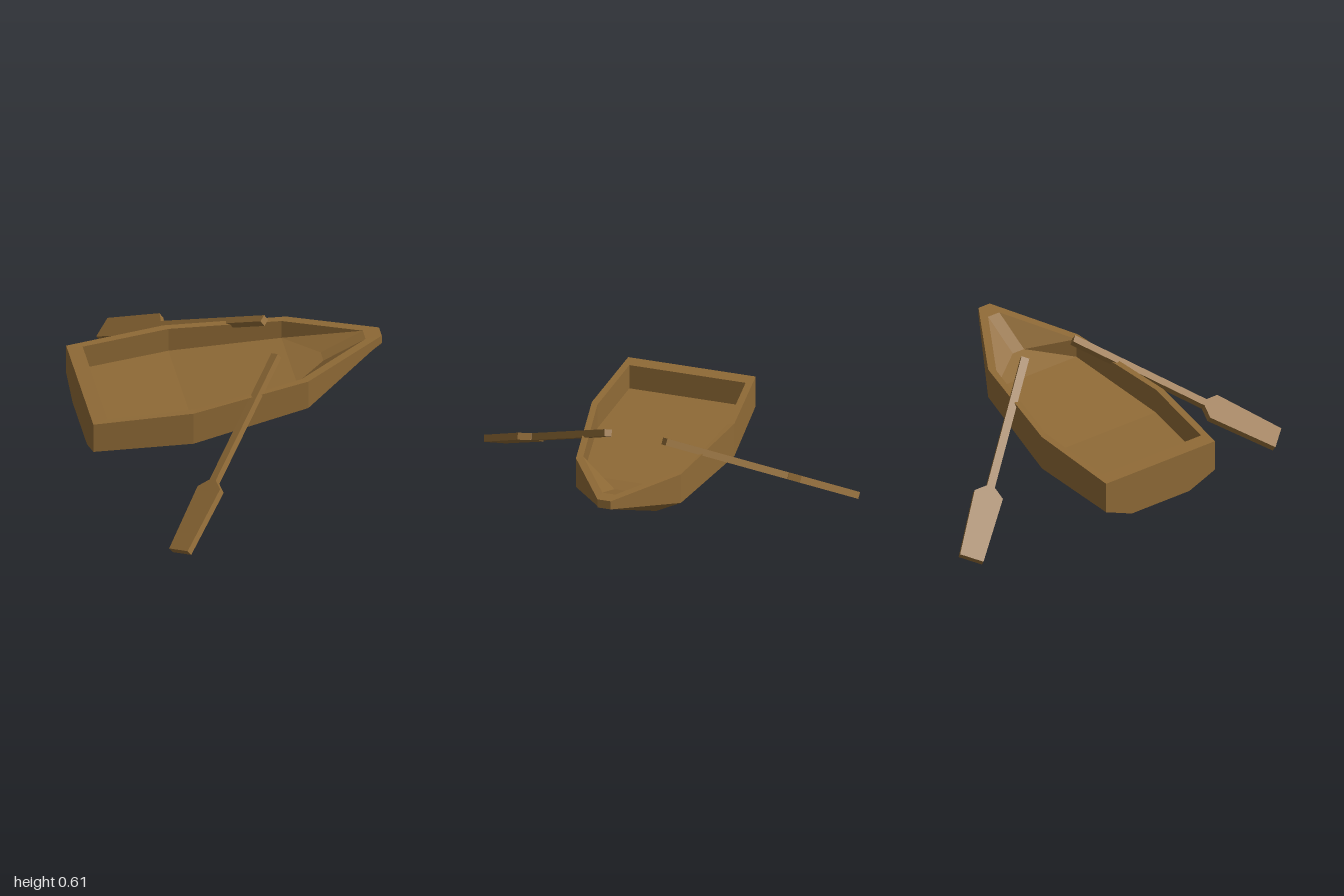
import * as THREE from 'three';

const wood = new THREE.MeshStandardMaterial({ color: 0x8f6a36, flatShading: true });

// Hull lines running stern to bow, each point [x, y, half width]
const HULL_LINES = [
  [[-0.785, 0.195, 0.18], [-0.27, 0.175, 0.2], [0.35, 0.255, 0.15], [0.785, 0.492, 0.035]], // bottom edge
  [[-0.785, 0.265, 0.34], [-0.27, 0.267, 0.38], [0.35, 0.325, 0.28], [0.785, 0.5, 0.035]],  // chine
  [[-0.785, 0.44, 0.34], [-0.27, 0.46, 0.38], [0.35, 0.495, 0.28], [0.785, 0.54, 0.035]],   // outer rim
  [[-0.705, 0.443, 0.31], [-0.25, 0.46, 0.345], [0.32, 0.493, 0.25], [0.70, 0.532, 0.035]], // inner rim
  [[-0.705, 0.305, 0.31], [-0.25, 0.32, 0.345], [0.32, 0.385, 0.25], [0.48, 0.427, 0.035]], // floor edge
];

// Closed loop of cross-sections: outside, over the rim, across the floor and back
function createHull() {
  const n = HULL_LINES.length, ring = 2 * n, stations = HULL_LINES[0].length;
  const positions = [], index = [];
  for (let s = 0; s < stations; s++) {
    for (let i = 0; i < ring; i++) {
      const left = i < n;
      const [x, y, z] = HULL_LINES[left ? i : ring - 1 - i][s];
      positions.push(x, y, left ? z : -z);
    }
  }
  const quad = (a, b, c, d) => index.push(a, b, c, a, c, d);
  for (let s = 0; s < stations - 1; s++) {
    for (let i = 0; i < ring; i++) {
      const j = (i + 1) % ring, a = s * ring, b = a + ring;
      quad(a + i, b + i, b + j, a + j);
    }
  }
  // Transom and bow: bands joining the two sides
  const bow = (stations - 1) * ring;
  for (let i = 0; i < n - 1; i++) {
    quad(i, i + 1, ring - 2 - i, ring - 1 - i);
    quad(bow + ring - 1 - i, bow + ring - 2 - i, bow + i + 1, bow + i);
  }
  const indexed = new THREE.BufferGeometry();
  indexed.setAttribute('position', new THREE.Float32BufferAttribute(positions, 3));
  indexed.setIndex(index);
  const geometry = indexed.toNonIndexed();
  geometry.computeVertexNormals();
  const hull = new THREE.Mesh(geometry, wood);
  hull.name = 'hull';
  return hull;
}

// Oar: flat part lying along the line from grip to blade tip
function createOar(side) {
  const grip = new THREE.Vector3(0.21, 0.588, 0.15 * side);
  const tip = new THREE.Vector3(-0.46, 0.033, 0.955 * side);
  const along = tip.clone().sub(grip);
  const length = along.length();
  along.normalize();
  const across = new THREE.Vector3(0.63, 0.315, 0.71 * side);
  across.addScaledVector(along, -across.dot(along)).normalize();
  const normal = along.clone().cross(across);

  const extrude = (halfOutline, depth, name) => {
    const mirrored = halfOutline.map(([x, y]) => [x, -y]).reverse();
    const shape = new THREE.Shape([...halfOutline, ...mirrored].map(([x, y]) => new THREE.Vector2(x, y)));
    const geometry = new THREE.ExtrudeGeometry(shape, { depth, bevelEnabled: false });
    geometry.translate(0, 0, -depth / 2);
    const mesh = new THREE.Mesh(geometry, wood);
    mesh.name = name;
    return mesh;
  };

  const oar = new THREE.Group();
  oar.name = side > 0 ? 'frontOar' : 'backOar';
  oar.add(
    extrude([[0, -0.021], [0.77, -0.021]], 0.036, 'oarShaft'),
    extrude([[0.765, -0.024], [0.81, -0.076], [length, -0.063]], 0.036, 'oarBlade'),
  );
  oar.applyMatrix4(new THREE.Matrix4().makeBasis(along, across, normal).setPosition(grip));
  return oar;
}

export function createModel() {
  const boat = new THREE.Group();
  boat.name = 'rowingBoat';
  boat.add(createHull(), createOar(1), createOar(-1));
  return boat;
}
